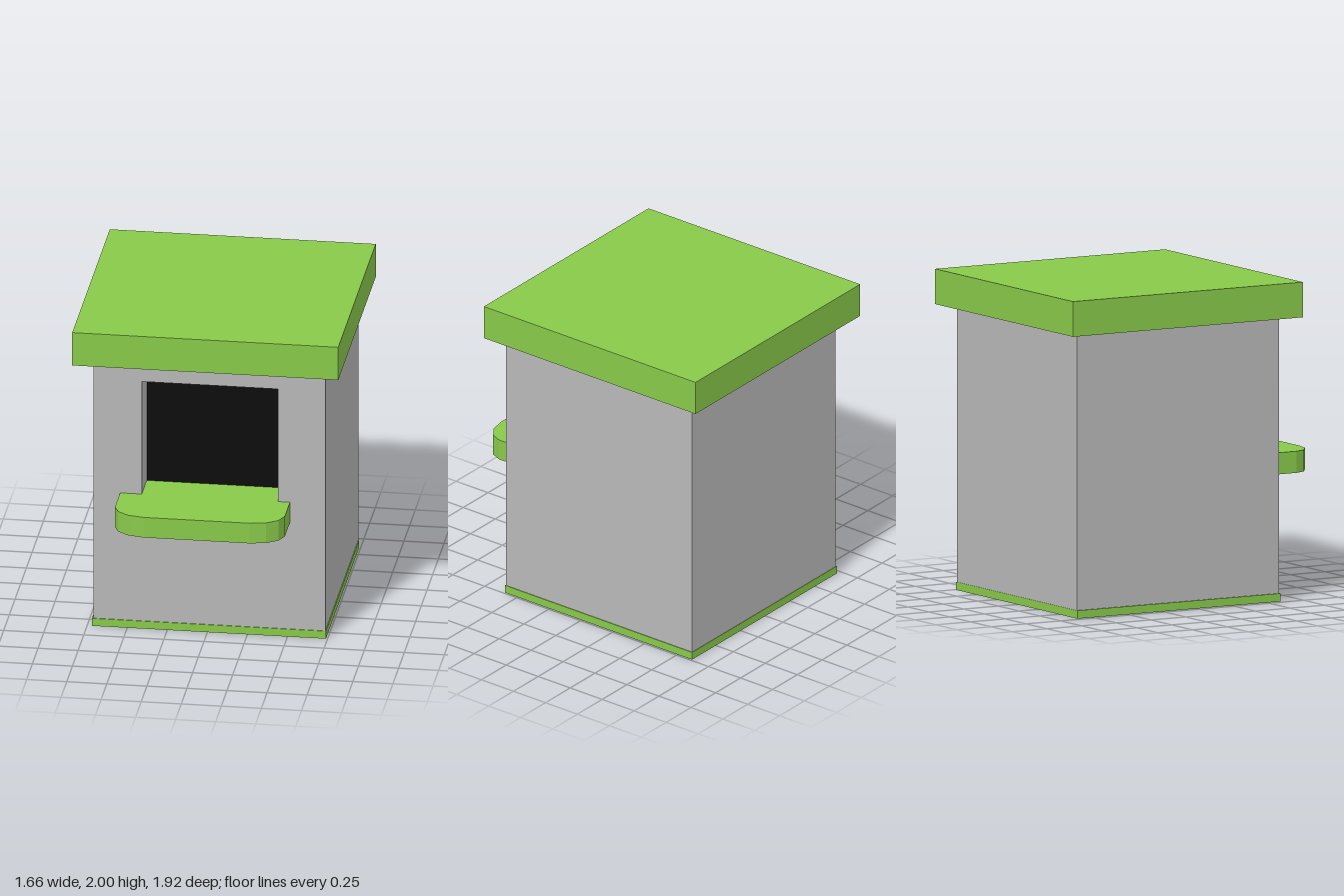
import * as THREE from 'three';

const material = (name, color) => {
  const m = new THREE.MeshStandardMaterial({ color });
  m.name = name;
  return m;
};

// Outline from corner points
const outline = (points) => new THREE.Shape(points.map(([x, y]) => new THREE.Vector2(x, y)));
const rect = (x0, x1, y0, y1) => [[x0, y0], [x1, y0], [x1, y1], [x0, y1]];

export function createModel() {
  const green = material('leaf green', 0x88c94a);
  const grey = material('wall grey', 0xb8b8b8);
  const black = material('dark opening', 0x0d0d0d);

  const group = new THREE.Group();
  group.name = 'kiosk';

  const add = (name, geometry, mat) => {
    const mesh = new THREE.Mesh(geometry, mat);
    mesh.name = name;
    group.add(mesh);
    return mesh;
  };

  // Box given by its extents on each axis
  const block = (name, mat, [x0, x1], [y0, y1], [z0, z1]) => {
    const geometry = new THREE.BoxGeometry(x1 - x0, y1 - y0, z1 - z0);
    geometry.translate((x0 + x1) / 2, (y0 + y1) / 2, (z0 + z1) / 2);
    return add(name, geometry, mat);
  };

  const wallX = [-0.71, 0.735];
  const wallY = [0.05, 1.78];
  const windowX = [-0.41, 0.44];
  const counterY = [0.765, 0.9];
  const windowTop = 1.655;
  const frontZ = 0.595;
  const recessZ = 0.37;

  // Roof slab and floor slab
  block('roof', green, [-0.83, 0.83], [1.78, 2], [-0.96, 0.695]);
  block('base', green, [-0.72, 0.74], [0, 0.05], [-0.863, 0.6]);

  // Main body behind the serving window
  block('body', grey, wallX, wallY, [-0.86, recessZ]);

  // Front wall with the window cut through it
  const wall = outline(rect(...wallX, ...wallY));
  wall.holes.push(outline(rect(...windowX, counterY[0], windowTop)));
  const wallGeometry = new THREE.ExtrudeGeometry(wall, { depth: frontZ - recessZ, bevelEnabled: false });
  wallGeometry.translate(0, 0, recessZ);
  add('frontWall', wallGeometry, grey);

  // Dark panel at the back of the recess
  block('windowPanel', black, windowX, [counterY[0], windowTop], [recessZ, recessZ + 0.005]);

  // Counter: clipped front corners, with a tongue reaching into the window
  const [x0, x1] = [-0.545, 0.515];
  const corner = [[0, 0.82], [0.03, 0.89], [0.1, 0.94], [0.2, 0.96]];
  const counter = outline([
    [windowX[0], recessZ], [windowX[0], frontZ], [x0, frontZ],
    ...corner.map(([d, z]) => [x0 + d, z]),
    ...corner.slice().reverse().map(([d, z]) => [x1 - d, z]),
    [x1, frontZ], [windowX[1], frontZ], [windowX[1], recessZ],
  ]);
  const counterGeometry = new THREE.ExtrudeGeometry(counter, { depth: counterY[1] - counterY[0], bevelEnabled: false });
  counterGeometry.rotateX(Math.PI / 2);
  counterGeometry.translate(0, counterY[1], 0);
  add('counter', counterGeometry, green);

  return group;
}
